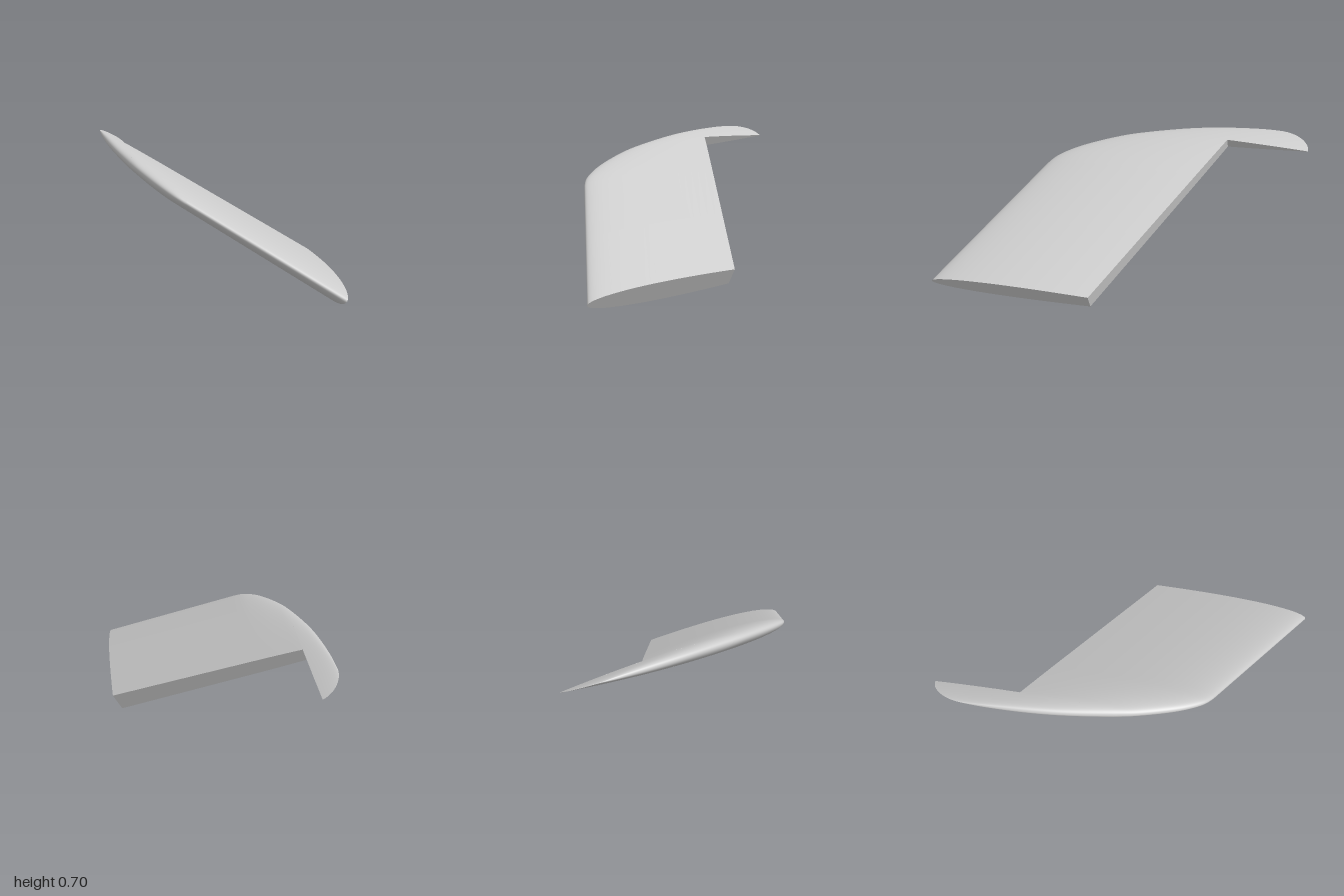
import * as THREE from 'three';

const COS = Math.cos(Math.PI / 6), SIN = 0.5;
const HORN = 1.157, TIP = 1.285; // span stations where the horn starts and ends

// Span, chord and thickness coordinates to a panel raised by 30 degrees
const place = (s, z, h) => [0.537 - s * COS + h * SIN, 0.058 + s * SIN + h * COS, z];

// Leading edge: straight run, then a rounded sweep to the tip
const edge = new THREE.SplineCurve([
  [0.874, 0.53], [0.943, 0.475], [1.024, 0.355], [1.105, 0.18], [HORN, 0.03],
  [1.22, -0.22], [1.255, -0.42], [1.278, -0.64], [TIP, -0.8],
].map(([s, z]) => new THREE.Vector2(s, z)));
const sweep = edge.getPoints(64);
const panelStations = [new THREE.Vector2(0, 1), new THREE.Vector2(0.437, 0.765), ...sweep.slice(0, 33)];
const hornStations = sweep.slice(32);

// Trailing edge of the full section: straight, then an elliptical tip
function trailing(s) {
  if (s <= HORN) return -0.63 - 0.36 * s / HORN;
  const q = Math.min(1, (s - HORN) / (TIP - HORN));
  return -0.8 - 0.19 * Math.sqrt(1 - q * q);
}

// Symmetric section: point at chord fraction u, side +1 upper or -1 lower
function sectionPoint(st, u, side) {
  const chord = Math.max(0, st.y - trailing(st.x));
  const half = 0.4 * chord * (0.2969 * Math.sqrt(u) - 0.126 * u - 0.3516 * u ** 2
    + 0.2843 * u ** 3 - 0.1015 * u ** 4);
  return place(st.x, st.y - u * chord, side * half);
}

// Chord fraction at which the panel is cut off along the hinge line
function hingeFraction(st) {
  const hingeZ = 0.07 - 0.585 * st.x / HORN;
  return (st.y - hingeZ) / (st.y - trailing(st.x));
}

// Surface through equal rows of points
function surface(name, rows, material) {
  const n = rows[0].length, index = [];
  for (let i = 0; i < rows.length - 1; i++) {
    for (let j = 0; j < n - 1; j++) {
      const a = i * n + j, c = a + n;
      index.push(a, c, a + 1, a + 1, c, c + 1);
    }
  }
  const geo = new THREE.BufferGeometry();
  geo.setAttribute('position', new THREE.Float32BufferAttribute(rows.flat(2), 3));
  geo.setIndex(index);
  geo.computeVertexNormals();
  const mesh = new THREE.Mesh(geo, material);
  mesh.name = name;
  return mesh;
}

// Skin wrapped from the upper aft edge around the nose to the lower aft edge
function skinRow(st, end, segments = 64) {
  return Array.from({ length: segments + 1 }, (_, j) => {
    const q = 1 - 2 * j / segments;
    return sectionPoint(st, end * q * q, Math.sign(q));
  });
}

const pair = (st, u) => [sectionPoint(st, u, -1), sectionPoint(st, u, 1)];

// Flat section face between two chord fractions
function sectionRows(st, from, to, segments = 40) {
  return Array.from({ length: segments + 1 }, (_, i) =>
    pair(st, from + (to - from) * (i / segments) ** 2));
}

export function createModel() {
  const material = new THREE.MeshStandardMaterial({ color: 0xcccccc, side: THREE.DoubleSide });
  const root = panelStations[0], step = hornStations[0];

  const model = new THREE.Group();
  model.name = 'wingTip';
  model.add(
    // main panel with its root and hinge faces
    surface('panelSkin', panelStations.map(st => skinRow(st, hingeFraction(st))), material),
    surface('hingeFace', panelStations.map(st => pair(st, hingeFraction(st))), material),
    surface('rootFace', sectionRows(root, 0, hingeFraction(root)), material),
    // tip horn running back past the hinge line
    surface('hornSkin', hornStations.map(st => skinRow(st, 1)), material),
    surface('hornInnerFace', sectionRows(step, hingeFraction(step), 1), material),
    surface('hornTrailingEdge', hornStations.map(st => pair(st, 1)), material),
  );
  return model;
}
